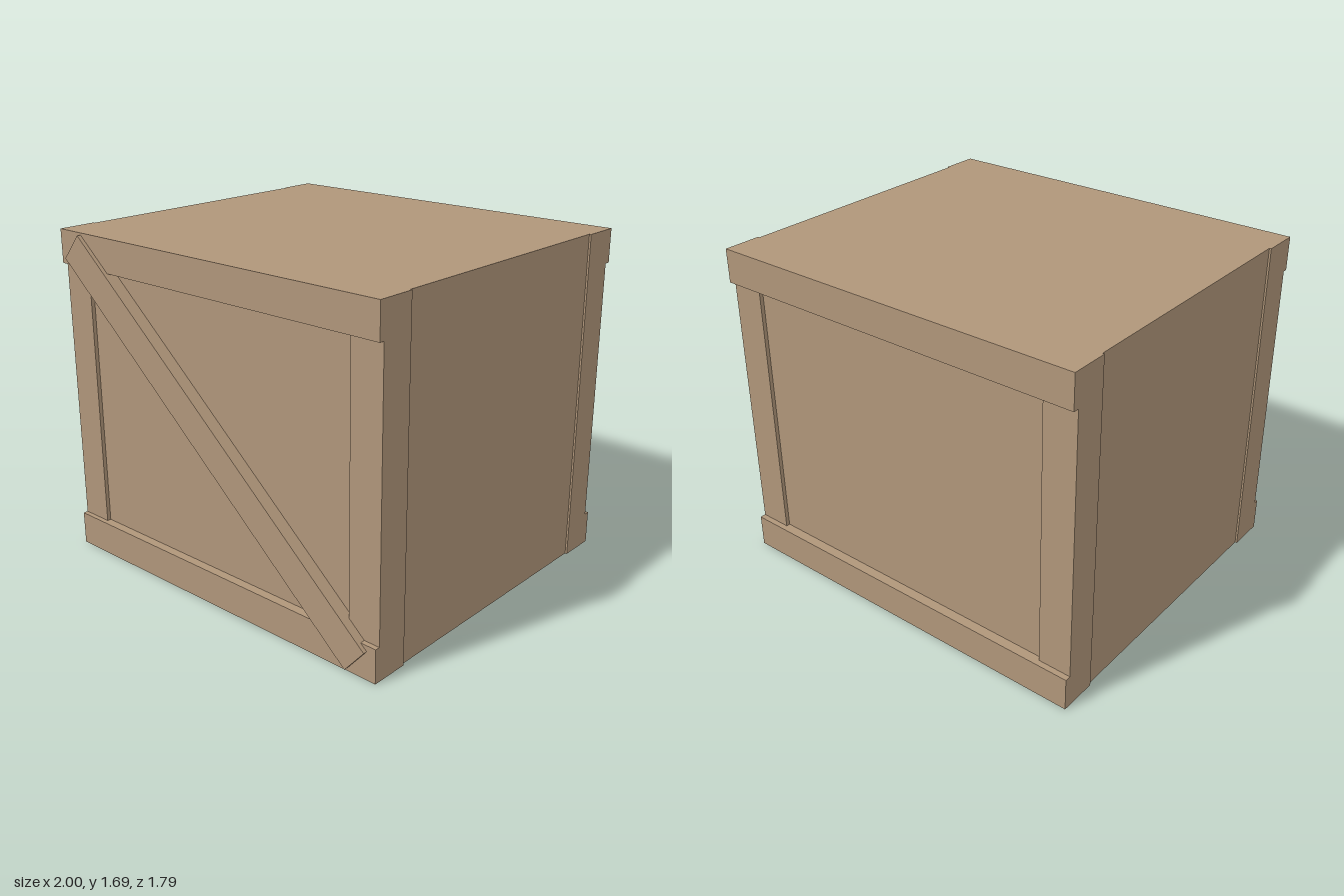
import * as THREE from 'three';

export function createModel() {
  const crate = new THREE.Group();
  crate.name = 'crate';
  const wood = new THREE.MeshStandardMaterial({ color: 0xb0967a });
  wood.name = 'wood';

  const H = 1.69, RAIL = 0.17;

  // Box from its lower and upper limits on each axis
  function board(name, [x0, x1], [y0, y1], [z0, z1]) {
    const mesh = new THREE.Mesh(new THREE.BoxGeometry(x1 - x0, y1 - y0, z1 - z0), wood);
    mesh.position.set((x0 + x1) / 2, (y0 + y1) / 2, (z0 + z1) / 2);
    mesh.name = name;
    crate.add(mesh);
    return mesh;
  }

  // Inner box: side, front and back panels, lid and floor
  board('body', [-0.99, 0.99], [0, H], [-0.845, 0.83]);

  // Frames on the front and back: inner, post and rail depths
  const frames = [
    { name: 'front', inner: 0.68, post: 0.85, rail: 0.875 },
    { name: 'back', inner: -0.70, post: -0.865, rail: -0.895 },
  ];
  for (const f of frames) {
    const span = (z) => [Math.min(f.inner, z), Math.max(f.inner, z)];
    board(f.name + 'LeftPost', [0.83, 1], [RAIL, H - RAIL], span(f.post));
    board(f.name + 'RightPost', [-1, -0.83], [RAIL, H - RAIL], span(f.post));
    board(f.name + 'BottomRail', [-1, 1], [0, RAIL], span(f.rail));
    board(f.name + 'TopRail', [-1, 1], [H - RAIL, H], span(f.rail));
  }

  // Diagonal board across the front
  const brace = board('diagonalBrace', [-1.182, 1.182], [0.764, 0.93], [0.82, 0.895]);
  brace.rotation.z = -0.709;

  return crate;
}
